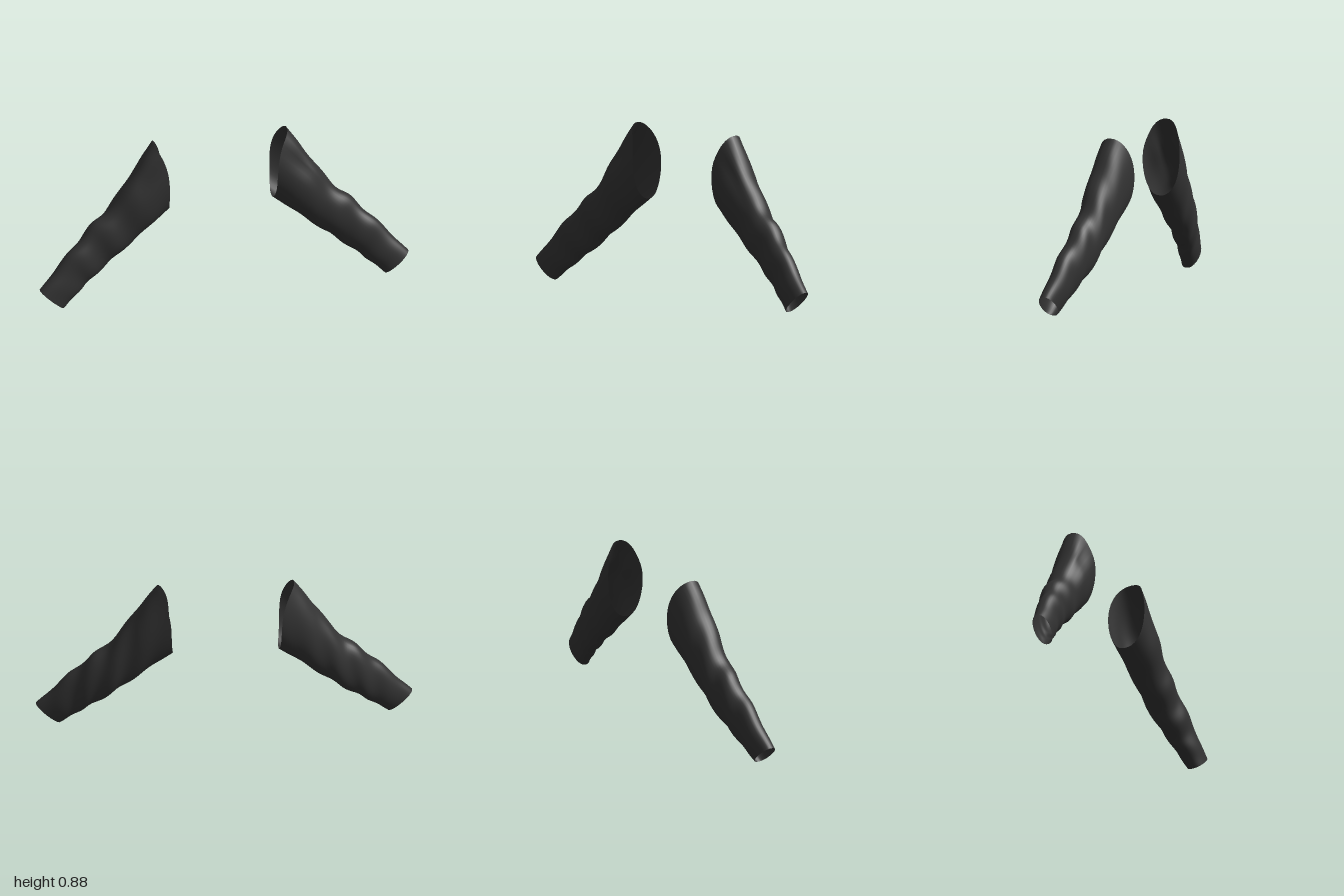
import * as THREE from 'three';

// Stations from shoulder to cuff: upper x, y, lower x, y, front z, back z
const STATIONS = [
  [0.365, 0.885, 0.28, 0.485, 0.082, -0.132],
  [0.425, 0.795, 0.365, 0.42, 0.092, -0.118],
  [0.49, 0.695, 0.44, 0.357, 0.092, -0.102],
  [0.56, 0.59, 0.52, 0.29, 0.086, -0.086],
  [0.63, 0.505, 0.59, 0.233, 0.09, -0.072],
  [0.70, 0.445, 0.66, 0.178, 0.092, -0.055],
  [0.77, 0.37, 0.72, 0.13, 0.102, -0.032],
  [0.84, 0.30, 0.77, 0.09, 0.11, -0.01],
  [0.92, 0.205, 0.82, 0.048, 0.12, 0.01],
  [0.998, 0.12, 0.868, 0.004, 0.13, 0.034],
];
const RINGS = 54, SIDES = 40;

const curve = (pick) => new THREE.CatmullRomCurve3(
  STATIONS.map((s) => new THREE.Vector3(...pick(s))), false, 'catmullrom', 0.5);
const upper = curve((s) => [s[0], s[1], 0]);
const lower = curve((s) => [s[2], s[3], 0]);
const depth = curve((s) => [s[4], s[5], 0]);

// Open cloth tube lofted through the stations; side is +1 or -1
function sleeveGeometry(side) {
  const pos = [], index = [];
  for (let i = 0; i <= RINGS; i++) {
    const t = i / RINGS;
    const u = upper.getPoint(t), l = lower.getPoint(t), d = depth.getPoint(t);
    const zMid = (d.x + d.y) / 2, zHalf = (d.x - d.y) / 2;
    const armhole = Math.max(0, 1 - t * 5);
    const mid = Math.sin(Math.PI * t);
    for (let j = 0; j < SIDES; j++) {
      const a = (j / SIDES) * Math.PI * 2;
      const c = Math.cos(a), s = Math.sin(a);
      const k = (c + 1) / 2;
      let x = l.x + (u.x - l.x) * k;
      let y = l.y + (u.y - l.y) * k;
      let z = zMid + zHalf * Math.sign(s) * Math.pow(Math.abs(s), 0.88);
      // armhole rim bows toward the body
      x -= 0.028 * s * s * (1 + c) * armhole;
      // soft slanting folds in the cloth
      const fold = 0.005 * mid * Math.sin(t * 26 + a * 2);
      x += fold * 0.7 * c;
      y += fold * 0.7 * c;
      z += fold * s;
      // crease running down the front from the shoulder
      z -= 0.014 * Math.exp(-(((a - 0.95) / 0.3) ** 2)) * Math.exp(-(((t - 0.14) / 0.14) ** 2));
      pos.push(side * x, Math.max(0, y), z);
      if (i < RINGS) {
        const p = i * SIDES + j, q = i * SIDES + (j + 1) % SIDES;
        const r = p + SIDES, w = q + SIDES;
        if (side > 0) index.push(p, q, r, q, w, r);
        else index.push(p, r, q, q, r, w);
      }
    }
  }
  const geo = new THREE.BufferGeometry();
  geo.setAttribute('position', new THREE.Float32BufferAttribute(pos, 3));
  geo.setIndex(index);
  geo.computeVertexNormals();
  return geo;
}

export function createModel() {
  const group = new THREE.Group();
  group.name = 'sleeves';
  const cloth = new THREE.MeshStandardMaterial({ color: 0x333333, side: THREE.DoubleSide });
  cloth.name = 'charcoal cloth';
  for (const [side, name] of [[1, 'leftSleeve'], [-1, 'rightSleeve']]) {
    const mesh = new THREE.Mesh(sleeveGeometry(side), cloth);
    mesh.name = name;
    group.add(mesh);
  }
  return group;
}
